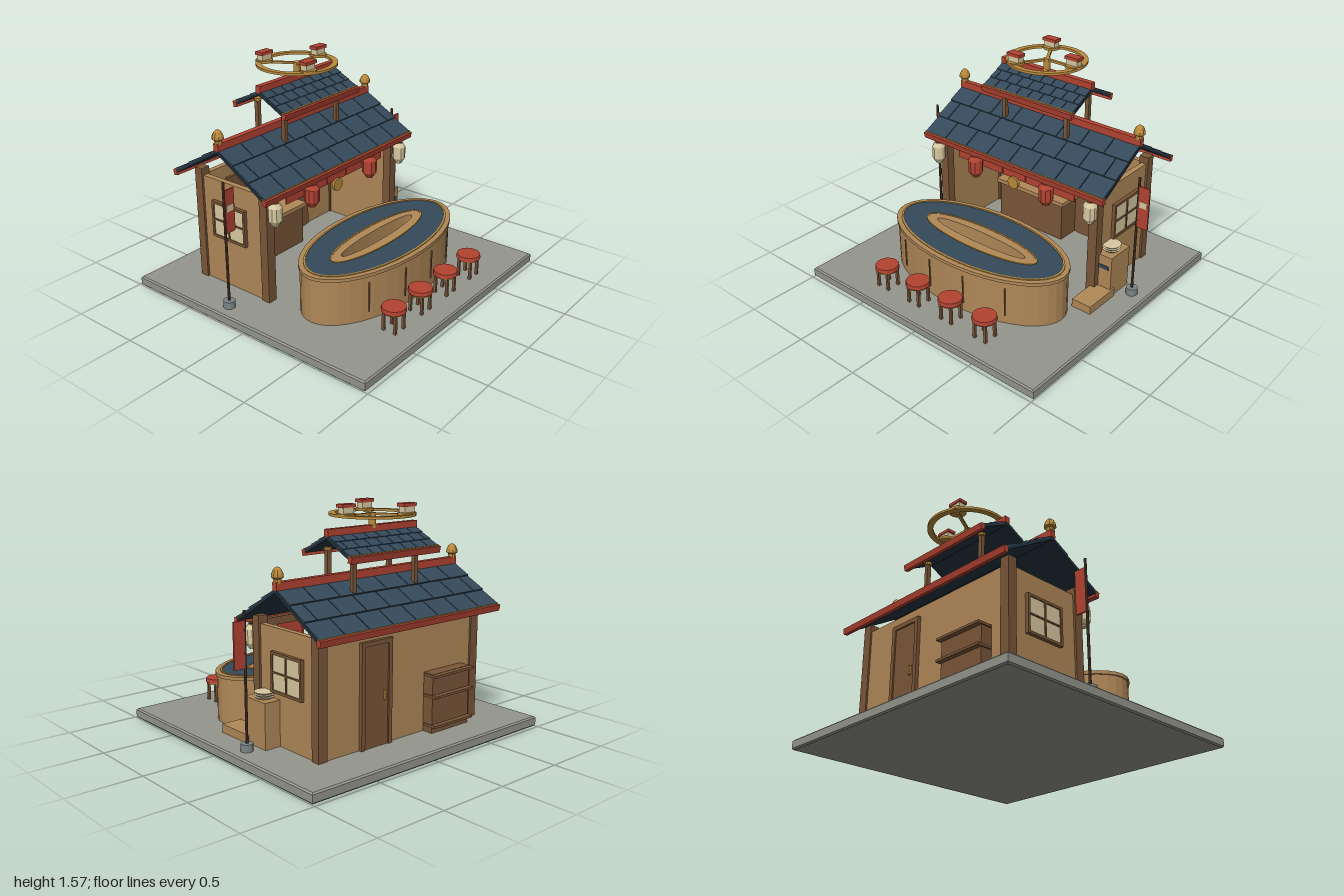
import * as THREE from 'three';

const mat = (color, double) => new THREE.MeshStandardMaterial({
  color, flatShading: true, side: double ? THREE.DoubleSide : THREE.FrontSide });
const M = {
  tan: mat(0xb08858), brown: mat(0x7a5638), dark: mat(0x5c4030), blue: mat(0x34495a), under: mat(0x24333f),
  red: mat(0xb34332), gold: mat(0xb98a3c), grey: mat(0x94968c), metal: mat(0x7d8588), cream: mat(0xd8c9a0),
};

function add(parent, name, geo, m, x = 0, y = 0, z = 0) {
  const mesh = new THREE.Mesh(geo, m);
  mesh.name = name;
  mesh.position.set(x, y, z);
  parent.add(mesh);
  return mesh;
}
// Box given by its limits on each axis
function box(parent, name, m, x0, x1, y0, y1, z0, z1) {
  return add(parent, name, new THREE.BoxGeometry(x1 - x0, y1 - y0, z1 - z0), m,
    (x0 + x1) / 2, (y0 + y1) / 2, (z0 + z1) / 2);
}
// Upright cylinder standing on y0
function cyl(parent, name, m, r, x, y0, y1, z, sides = 12, rTop = r) {
  return add(parent, name, new THREE.CylinderGeometry(rTop, r, y1 - y0, sides), m, x, (y0 + y1) / 2, z);
}
function group(parent, name, x = 0, y = 0, z = 0) {
  const g = new THREE.Group();
  g.name = name;
  g.position.set(x, y, z);
  parent.add(g);
  return g;
}
function lathe(parent, name, m, pts, x, y, z, sides = 12) {
  return add(parent, name, new THREE.LatheGeometry(pts.map(p => new THREE.Vector2(...p)), sides), m, x, y, z);
}
// Flat elliptical ring lying level, from y0 to y1
function ovalRing(parent, name, m, rx, rz, hx, hz, y0, y1, z) {
  const s = new THREE.Shape();
  s.absellipse(0, 0, rx, rz, 0, Math.PI * 2);
  const hole = new THREE.Path();
  hole.absellipse(0, 0, hx, hz, 0, Math.PI * 2, true);
  s.holes.push(hole);
  const g = new THREE.ExtrudeGeometry(s, { depth: y1 - y0, bevelEnabled: false, curveSegments: 20 });
  g.rotateX(-Math.PI / 2);
  return add(parent, name, g, m, 0, y0, z);
}

// Gable roof: two tiled slopes, eave beams and a ridge beam
function gableRoof(parent, name, half, ridgeY, run, drop, cols, beam) {
  const roof = group(parent, name, 0, ridgeY, -0.38);
  const len = Math.hypot(run, drop), rows = 3, rowLen = len / rows, w = 2 * half / cols;
  for (const turn of [0, Math.PI]) {
    const side = group(roof, 'roofSide');
    side.rotation.y = turn;
    const slope = group(side, 'roofSlope');
    slope.rotation.x = Math.atan2(drop, run);
    box(slope, 'roofDeck', M.under, -half, half, -0.022, -0.004, 0, len);
    for (let r = 0; r < rows; r++) {
      const shift = r % 2 ? w / 2 : 0;
      for (let c = 0; c <= cols; c++) {
        const a = Math.max(-half, -half + c * w - shift), b = Math.min(half, -half + (c + 1) * w - shift);
        if (b - a < 0.01) continue;
        const tile = box(slope, 'roofTile', M.blue, a + 0.003, b - 0.003, -0.011, 0.005,
          r * rowLen, (r + 1) * rowLen + 0.004);
        tile.rotation.x = -0.06;
      }
    }
    const eave = box(side, 'eaveBeam', M.red, -half - 0.003, half + 0.003, -drop - 0.04, -drop + 0.002,
      run - 0.012, run + 0.02);
    eave.rotation.x = 0.2;
    box(side, 'eaveTrim', M.gold, -half, half, -drop, -drop + 0.008, run - 0.014, run + 0.008);
  }
  box(roof, 'ridgeBeam', M.red, -half - 0.003, half + 0.003, -0.01, beam, -0.02, 0.02);
  return roof;
}

function lantern(parent, m, r, x, y, z) {
  const g = group(parent, 'lantern', x, y, z);
  lathe(g, 'lanternBody', m, [[0, -0.075], [0.6 * r, -0.075], [r, -0.045], [r, 0.045], [0.6 * r, 0.075], [0, 0.075]], 0, 0, 0, 10);
  cyl(g, 'lanternCap', M.dark, 0.5 * r, 0, 0.075, 0.085, 0, 10);
  cyl(g, 'lanternFoot', m, 0.5 * r, 0, -0.085, -0.075, 0, 10);
  cyl(g, 'lanternCord', M.dark, 0.004, 0, 0.08, 0.12, 0, 6);
}

export function createModel() {
  const root = new THREE.Group();
  root.name = 'foodStall';

  // Paved base with a small chamfer
  const slab = new THREE.Shape([[-0.99, -0.97], [0.99, -0.97], [0.99, 0.97], [-0.99, 0.97]].map(p => new THREE.Vector2(...p)));
  const base = new THREE.ExtrudeGeometry(slab, { depth: 0.05, bevelSize: 0.01, bevelThickness: 0.01, bevelSegments: 1 });
  add(root, 'base', base.rotateX(-Math.PI / 2), M.grey, 0, 0.01, 0);

  // Hut: open front, side walls with windows, back wall with a door
  const hut = group(root, 'hut');
  box(hut, 'backWall', M.tan, -0.68, 0.68, 0.07, 0.83, -0.67, -0.63);
  for (const s of [-1, 1]) {
    const x = s * 0.67;
    box(hut, 'sideWall', M.tan, x - 0.02, x + 0.02, 0.07, 0.83, -0.65, -0.07);
    for (const z of [-0.07, -0.65]) box(hut, 'cornerPost', M.brown, x - 0.035, x + 0.035, 0.07, 0.88, z - 0.032, z + 0.032);
    const win = group(hut, 'window', s * 0.69, 0.55, -0.38);
    box(win, 'pane', M.cream, -0.03, 0.004, -0.12, 0.12, -0.14, 0.14).position.x = 0;
    for (const t of [-1, 0, 1]) {
      const h = t ? 0.009 : 0.005;
      box(win, 'windowRail', M.brown, -0.025, 0.025, t * 0.122 - h, t * 0.122 + h, -0.15, 0.15);
      box(win, 'windowStile', M.brown, -0.025, 0.025, -0.13, 0.13, t * 0.141 - h, t * 0.141 + h);
    }
  }
  box(hut, 'frontBeam', M.brown, -0.68, 0.68, 0.8, 0.85, -0.09, -0.05);
  box(hut, 'door', M.brown, 0.14, 0.34, 0.07, 0.73, -0.685, -0.615);
  for (const x of [0.125, 0.355]) box(hut, 'doorJamb', M.brown, x - 0.015, x + 0.015, 0.07, 0.76, -0.695, -0.62);
  box(hut, 'doorHead', M.brown, 0.11, 0.37, 0.73, 0.76, -0.695, -0.62);
  box(hut, 'doorHandle', M.gold, 0.165, 0.18, 0.37, 0.43, -0.7, -0.68);

  // Interior shelf with cups and a rear worktop
  box(hut, 'shelfPanel', M.brown, -0.48, 0.13, 0.42, 0.74, -0.635, -0.61);
  box(hut, 'shelf', M.tan, -0.49, 0.135, 0.55, 0.568, -0.61, -0.49);
  for (let i = 0; i < 4; i++) cyl(hut, 'cup', M.cream, 0.024, -0.39 + i * 0.16, 0.568, 0.62, -0.54, 10, 0.031);
  box(hut, 'rearWorktop', M.tan, -0.5, 0.13, 0.36, 0.39, -0.62, -0.43);
  box(hut, 'rearCabinet', M.brown, -0.48, 0.11, 0.07, 0.36, -0.62, -0.45);

  // Outdoor shelves on the back wall
  const rack = group(root, 'backRack');
  box(rack, 'rackBody', M.brown, -0.55, -0.2, 0.07, 0.47, -0.75, -0.67);
  for (const y of [0.12, 0.32, 0.46]) box(rack, 'rackShelf', M.brown, -0.56, -0.19, y - 0.008, y + 0.008, -0.785, -0.68);

  // Cloth panels and medallion over the opening
  for (let i = 0; i < 5; i++) {
    const x = -0.52 + i * 0.208;
    box(root, 'clothPanel', M.red, x + 0.003, x + 0.203, 0.72, 0.82, -0.045, -0.035);
  }
  add(root, 'medallion', new THREE.CylinderGeometry(0.046, 0.046, 0.02, 16).rotateX(Math.PI / 2), M.gold, 0, 0.69, -0.03);
  for (const s of [-1, 1]) {
    lantern(root, M.cream, 0.048, s * 0.675, 0.73, 0.01);
    lantern(root, M.red, 0.052, s * 0.315, 0.735, 0.01);
  }

  // Main roof, finials and raised upper roof
  gableRoof(root, 'mainRoof', 0.785, 1.1, 0.4, 0.24, 8, 0.04);
  for (const s of [-1, 1]) {
    lathe(root, 'finial', M.gold, [[0, 0], [0.026, 0], [0.026, 0.025], [0.04, 0.035], [0.038, 0.055],
      [0.026, 0.08], [0.012, 0.093], [0, 0.097]], s * 0.765, 1.135, -0.38, 10);
    for (const z of [-0.26, -0.5]) {
      box(root, 'upperPost', M.brown, s * 0.27 - 0.015, s * 0.27 + 0.015, 1.02, 1.29, z - 0.015, z + 0.015);
      cyl(root, 'postCap', M.gold, 0.026, s * 0.27, 1.27, 1.29, z, 10);
    }
  }
  gableRoof(root, 'upperRoof', 0.385, 1.385, 0.215, 0.112, 8, 0.037);

  // Rooftop wheel carrying three small boxes
  const wheel = group(root, 'roofWheel', 0, 0, -0.38);
  cyl(wheel, 'wheelHub', M.gold, 0.024, 0, 1.4, 1.5, 0, 12);
  ovalRing(wheel, 'wheelRim', M.gold, 0.28, 0.28, 0.24, 0.24, 1.483, 1.5, 0);
  for (let i = 0; i < 3; i++) {
    const a = i * Math.PI * 2 / 3, x = 0.225 * Math.cos(a), z = 0.225 * Math.sin(a);
    const spoke = group(wheel, 'wheelSpoke');
    spoke.rotation.y = -a;
    box(spoke, 'spokeBar', M.gold, 0, 0.25, 1.483, 1.498, -0.011, 0.011);
    cyl(wheel, 'tray', M.gold, 0.06, x, 1.49, 1.508, z, 14);
    box(wheel, 'smallBox', M.cream, x - 0.044, x + 0.044, 1.508, 1.545, z - 0.026, z + 0.026);
    box(wheel, 'smallBoxLid', M.red, x - 0.055, x + 0.055, 1.545, 1.567, z - 0.032, z + 0.032);
  }

  // Oval counter with an open middle
  const counter = group(root, 'counter');
  ovalRing(counter, 'counterBody', M.tan, 0.71, 0.345, 0.4, 0.06, 0.07, 0.385, 0.325);
  ovalRing(counter, 'counterRim', M.tan, 0.72, 0.355, 0.67, 0.305, 0.385, 0.408, 0.325);
  ovalRing(counter, 'counterTrim', M.gold, 0.685, 0.32, 0.672, 0.307, 0.4, 0.414, 0.325);
  ovalRing(counter, 'counterTop', M.blue, 0.675, 0.31, 0.48, 0.12, 0.385, 0.41, 0.325);
  ovalRing(counter, 'innerRim', M.tan, 0.485, 0.125, 0.395, 0.057, 0.385, 0.413, 0.325);
  ovalRing(counter, 'innerTrim', M.gold, 0.49, 0.13, 0.477, 0.117, 0.4, 0.416, 0.325);
  for (const x of [-0.45, -0.15, 0.15, 0.45]) {
    const z = 0.325 + 0.345 * Math.sqrt(1 - (x / 0.71) ** 2);
    box(counter, 'counterSlat', M.brown, x - 0.004, x + 0.004, 0.13, 0.34, z - 0.01, z + 0.006);
  }

  // Stools
  for (const x of [-0.443, -0.148, 0.148, 0.443]) {
    const stool = group(root, 'stool', x, 0, 0.78);
    cyl(stool, 'stoolRing', M.gold, 0.076, 0, 0.2, 0.213, 0, 14);
    cyl(stool, 'stoolSeat', M.red, 0.084, 0, 0.211, 0.238, 0, 14, 0.08);
    for (const a of [-0.045, 0.045]) for (const b of [-0.045, 0.045])
      box(stool, 'stoolLeg', M.brown, a - 0.009, a + 0.009, 0.07, 0.205, b - 0.009, b + 0.009);
  }

  // Side cabinet with a stack of plates and a low step
  const cab = group(root, 'sideCabinet');
  box(cab, 'cabinetBody', M.tan, 0.65, 0.806, 0.07, 0.375, -0.29, -0.08);
  box(cab, 'cabinetSlot', M.blue, 0.7, 0.785, 0.275, 0.302, -0.085, -0.074);
  box(cab, 'lowStep', M.tan, 0.67, 0.818, 0.07, 0.128, -0.115, 0.165);
  for (let i = 0; i < 3; i++) cyl(cab, 'plate', M.cream, 0.054, 0.73, 0.375 + i * 0.015, 0.387 + i * 0.015, -0.185, 14, 0.066);

  // Banner poles; both banners fly the same way
  for (const x of [-0.898, 0.892]) {
    const flag = group(root, 'bannerPole', x, 0, -0.215);
    cyl(flag, 'poleFoot', M.metal, 0.04, 0, 0.07, 0.12, 0, 12);
    cyl(flag, 'pole', M.dark, 0.009, 0, 0.12, 0.96, 0, 8);
    box(flag, 'banner', M.red, 0.002, 0.083, 0.6, 0.9, -0.006, 0.006);
    box(flag, 'bannerPatch', M.cream, 0.015, 0.07, 0.75, 0.795, -0.004, 0.009);
  }
  return root;
}
